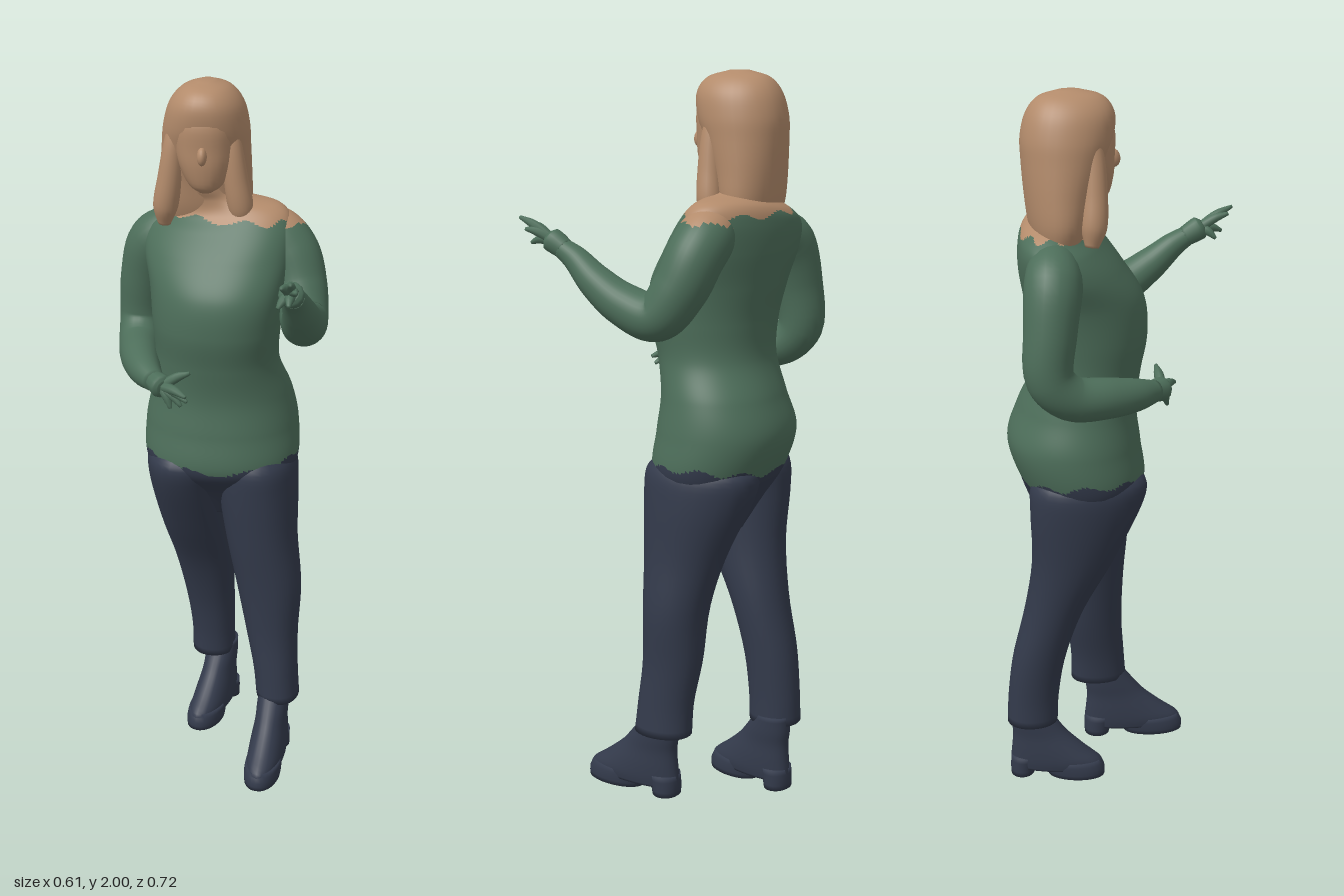
import * as THREE from 'three';

const mat = (name, color) => {
  const m = new THREE.MeshStandardMaterial({ color });
  m.name = name;
  return m;
};

// Smoothly resample key rows of equal length to n + 1 rows
function resample(keys, n) {
  const f = new THREE.CubicInterpolant(keys.map((_, i) => i), keys.flat(), keys[0].length);
  return Array.from({ length: n + 1 }, (_, j) => Array.from(f.evaluate((j / n) * (keys.length - 1))));
}

// Closed, capped skin over rows of points; pick(point, column) chooses a material slot
function skin(rows, pick) {
  const cols = rows[0].length, last = rows.length - 1;
  const pts = rows.flat();
  const mid = row => row.reduce((s, p) => s.add(p), new THREE.Vector3()).divideScalar(cols);
  pts.push(mid(rows[0]), mid(rows[last]));
  const slots = [[], [], []];
  const tri = (a, b, c, col) => {
    const m = pts[a].clone().add(pts[b]).add(pts[c]).divideScalar(3);
    slots[pick ? pick(m, col) : 0].push(a, b, c);
  };
  for (let i = 0; i < cols; i++) {
    const k = (i + 1) % cols;
    for (let j = 0; j < last; j++) {
      const a = j * cols, b = a + cols;
      tri(a + i, a + k, b + i, i);
      tri(a + k, b + k, b + i, i);
    }
    tri(pts.length - 2, k, i, i);
    tri(pts.length - 1, last * cols + i, last * cols + k, i);
  }
  const g = new THREE.BufferGeometry().setFromPoints(pts);
  g.setIndex(slots.flat());
  if (pick) {
    let start = 0;
    slots.forEach((s, i) => {
      if (s.length) g.addGroup(start, s.length, i);
      start += s.length;
    });
  }
  g.computeVertexNormals();
  return g;
}

// Horizontal sections: [y, centre x, half width, back z, front z, z twist, y tilt]
function stack(keys, n = 30, cols = 28, pick) {
  const full = keys.map(([y, xc, rx, zb, zf, twist = 0, tilt = 0]) => [y, xc, rx, zb, zf, twist, tilt]);
  const rows = resample(full, n).map(([y, xc, rx, zb, zf, twist, tilt]) =>
    Array.from({ length: cols }, (_, i) => {
      const a = (i / cols) * Math.PI * 2;
      const dx = rx * Math.sign(Math.cos(a)) * Math.abs(Math.cos(a)) ** 0.9;
      const z = (zb + zf) / 2 - ((zf - zb) / 2) * Math.sin(a) + twist * dx;
      return new THREE.Vector3(xc + dx, y + tilt * dx, z);
    }));
  return skin(rows, pick);
}

// Limb along a curved path: [x, y, z, radius]
function limb(keys, n = 24, cols = 16, pick) {
  const path = new THREE.CatmullRomCurve3(keys.map(k => new THREE.Vector3(k[0], k[1], k[2])));
  let side = new THREE.Vector3(1, 0.2, 0.1);
  return skin(resample(keys.map(k => [k[3]]), n).map(([r], j) => {
    const p = path.getPoint(j / n), t = path.getTangent(j / n);
    side = side.clone().addScaledVector(t, -side.dot(t)).normalize();
    const up = t.cross(side);
    return Array.from({ length: cols }, (_, i) => {
      const a = (i / cols) * Math.PI * 2;
      return p.clone().addScaledVector(side, r * Math.cos(a)).addScaledVector(up, r * Math.sin(a));
    });
  }), pick);
}

export function createModel() {
  const model = new THREE.Group();
  model.name = 'standingWoman';
  const tan = mat('warm tan', 0xb38b6b);
  const green = mat('sweater green', 0x4d6e5a);
  const navy = mat('dark navy', 0x333a4b);
  const add = (name, geo, m, parent = model) => {
    const mesh = new THREE.Mesh(geo, m);
    mesh.name = name;
    parent.add(mesh);
  };

  // Torso: hips, sweater and bare shoulders split by wavy borders
  const cols = 96;
  add('torso', stack([
    [0.76, 0.01, 0.06, -0.2, -0.08],
    [0.85, 0.01, 0.16, -0.25, -0.02],
    [0.93, 0.01, 0.216, -0.297, 0.042],
    [1.04, 0.008, 0.218, -0.33, 0.033],
    [1.14, 0.008, 0.198, -0.3, 0.022],
    [1.24, -0.003, 0.175, -0.262, 0.035, 0.06],
    [1.34, -0.005, 0.18, -0.262, 0.055, 0.1],
    [1.44, -0.005, 0.19, -0.28, 0.047, 0.15],
    [1.53, -0.008, 0.208, -0.295, -0.01, 0.18, 0.03],
    [1.6, -0.005, 0.205, -0.295, -0.065, 0.2, 0.08],
    [1.645, 0, 0.165, -0.28, -0.1, 0.2, 0.12],
    [1.68, -0.02, 0.085, -0.24, -0.11, 0.1, 0.08],
    [1.72, -0.035, 0.06, -0.22, -0.1],
    [1.8, -0.035, 0.055, -0.21, -0.1],
  ], 200, cols, (p, i) => {
    const a = (i / cols) * Math.PI * 2;
    if (p.y < 0.938 + 0.025 * Math.cos(a) ** 2 + 0.008 * Math.sin(9 * a)) return 2;
    return p.y > 1.63 + 0.008 * Math.sin(9 * a) ? 1 : 0;
  }), [green, tan, navy]);

  // Trouser legs, the left one stepping forward
  add('leftLeg', stack([
    [0.19, 0.19, 0.064, -0.128, 0.038],
    [0.28, 0.182, 0.066, -0.13, 0.03],
    [0.4, 0.168, 0.077, -0.148, 0.02],
    [0.55, 0.156, 0.095, -0.16, 0.022],
    [0.7, 0.132, 0.104, -0.2, 0.03],
    [0.85, 0.117, 0.116, -0.267, 0.038],
    [0.93, 0.113, 0.112, -0.288, 0.037],
    [0.97, 0.11, 0.09, -0.26, 0.01],
  ]), navy);
  add('rightLeg', stack([
    [0.19, -0.034, 0.066, -0.36, -0.215],
    [0.28, -0.036, 0.066, -0.355, -0.21],
    [0.4, -0.043, 0.074, -0.34, -0.19],
    [0.55, -0.055, 0.087, -0.305, -0.14],
    [0.7, -0.076, 0.098, -0.285, -0.06],
    [0.85, -0.092, 0.108, -0.29, 0.012],
    [0.93, -0.092, 0.112, -0.288, 0.035],
    [0.97, -0.09, 0.09, -0.26, 0.01],
  ]), navy);

  // Ankle boots with a separate heel and sole
  const boot = (name, x, z, yaw, s) => {
    const g = new THREE.Group();
    g.name = name;
    g.position.set(x, 0, z);
    g.rotation.y = yaw;
    g.scale.set(1, 1, s);
    add('upper', stack([
      [0.025, 0, 0.05, -0.068, 0.225],
      [0.05, 0, 0.053, -0.07, 0.218],
      [0.085, 0, 0.051, -0.066, 0.17],
      [0.13, 0, 0.046, -0.062, 0.115],
      [0.17, 0, 0.046, -0.066, 0.08],
      [0.215, 0, 0.044, -0.064, 0.045],
    ], 20), navy, g);
    add('sole', stack([[0, 0, 0.051, 0.05, 0.23], [0.025, 0, 0.053, 0.04, 0.23], [0.05, 0, 0.05, 0.03, 0.217]], 4), navy, g);
    add('heel', stack([[0, 0, 0.044, -0.07, 0.005], [0.03, 0, 0.045, -0.071, 0.012], [0.06, 0, 0.046, -0.068, 0.02]], 4), navy, g);
    model.add(g);
  };
  boot('leftBoot', 0.18, -0.02, -0.12, 1);
  boot('rightBoot', -0.008, -0.285, -0.28, 0.92);

  // Arms: the left reaches forward, the right folds across the waist
  const bareShoulder = p => (p.y > 1.618 + 0.006 * Math.sin(p.z * 90) ? 1 : 0);
  add('leftArm', limb([
    [0.09, 1.6, -0.165, 0.05], [0.145, 1.585, -0.16, 0.075], [0.195, 1.535, -0.145, 0.078], [0.225, 1.45, -0.115, 0.074],
    [0.242, 1.375, -0.055, 0.066], [0.246, 1.4, 0.04, 0.058], [0.245, 1.455, 0.125, 0.047],
    [0.237, 1.51, 0.19, 0.035], [0.235, 1.535, 0.23, 0.028],
  ], 90, 32, bareShoulder), [green, tan]);
  add('rightArm', limb([
    [-0.1, 1.57, -0.21, 0.05], [-0.15, 1.56, -0.225, 0.068], [-0.195, 1.525, -0.235, 0.076], [-0.228, 1.42, -0.25, 0.07],
    [-0.24, 1.29, -0.255, 0.064], [-0.238, 1.235, -0.2, 0.06], [-0.22, 1.222, -0.1, 0.055],
    [-0.19, 1.215, -0.015, 0.044], [-0.155, 1.21, 0.045, 0.029],
  ], 48, 24), green);

  // Hands: rounded palm with tapering fingers, the last one being the thumb
  const hand = (name, wrist, palm, tips) => {
    const g = new THREE.Group();
    g.name = name;
    add('palm', limb([[...wrist, 0.028], [...palm, 0.033], [...palm.map((v, i) => v * 1.25 - wrist[i] * 0.25), 0.02]], 10, 12), green, g);
    tips.forEach((tip, i) => {
      const bend = palm.map((v, k) => v * 0.45 + tip[k] * 0.55 + (k === 1 ? 0.006 : 0));
      add(i === 4 ? 'thumb' : 'finger', limb([[...palm, 0.015], [...bend, 0.013], [...tip, 0.005]], 8, 8), green, g);
    });
    model.add(g);
  };
  hand('leftHand', [0.235, 1.53, 0.22], [0.232, 1.556, 0.265],
    [[0.238, 1.612, 0.362], [0.214, 1.597, 0.345], [0.25, 1.583, 0.338], [0.232, 1.545, 0.33], [0.202, 1.53, 0.305]]);
  hand('rightHand', [-0.16, 1.212, 0.035], [-0.132, 1.207, 0.068],
    [[-0.06, 1.2, 0.122], [-0.058, 1.182, 0.11], [-0.075, 1.165, 0.1], [-0.105, 1.152, 0.09], [-0.055, 1.25, 0.07]]);

  // Long straight hair, with side locks framing the face
  add('hair', stack([
    [1.6, -0.045, 0.11, -0.255, -0.14],
    [1.66, -0.045, 0.128, -0.27, -0.118],
    [1.74, -0.044, 0.126, -0.28, -0.098],
    [1.82, -0.042, 0.121, -0.286, -0.068],
    [1.88, -0.04, 0.116, -0.287, -0.046],
    [1.94, -0.038, 0.1, -0.272, -0.042],
    [1.98, -0.037, 0.067, -0.24, -0.07],
    [1.998, -0.037, 0.02, -0.185, -0.13],
  ], 36, 32), tan);
  const lock = (name, s) => add(name, limb([
    [0.06, 1.93, -0.13, 0.02], [0.077, 1.84, -0.112, 0.027], [0.09, 1.74, -0.112, 0.033],
    [0.103, 1.66, -0.118, 0.034], [0.108, 1.61, -0.125, 0.018],
  ].map(([x, y, z, r]) => [-0.043 + s * x, y, z, r]), 30, 20), tan);
  lock('leftLock', 1);
  lock('rightLock', -1);

  // Face with a small nose and chin
  add('face', stack([
    [1.71, -0.033, 0.02, -0.13, -0.075],
    [1.73, -0.034, 0.047, -0.16, -0.055],
    [1.78, -0.036, 0.07, -0.18, -0.044],
    [1.83, -0.038, 0.08, -0.19, -0.042],
    [1.89, -0.038, 0.08, -0.19, -0.041],
    [1.94, -0.038, 0.06, -0.18, -0.06],
  ], 20, 24), tan);
  add('nose', new THREE.SphereGeometry(0.018, 16, 12).scale(0.75, 1.4, 1.1).rotateX(-0.25).translate(-0.036, 1.818, -0.044), tan);

  return model;
}
